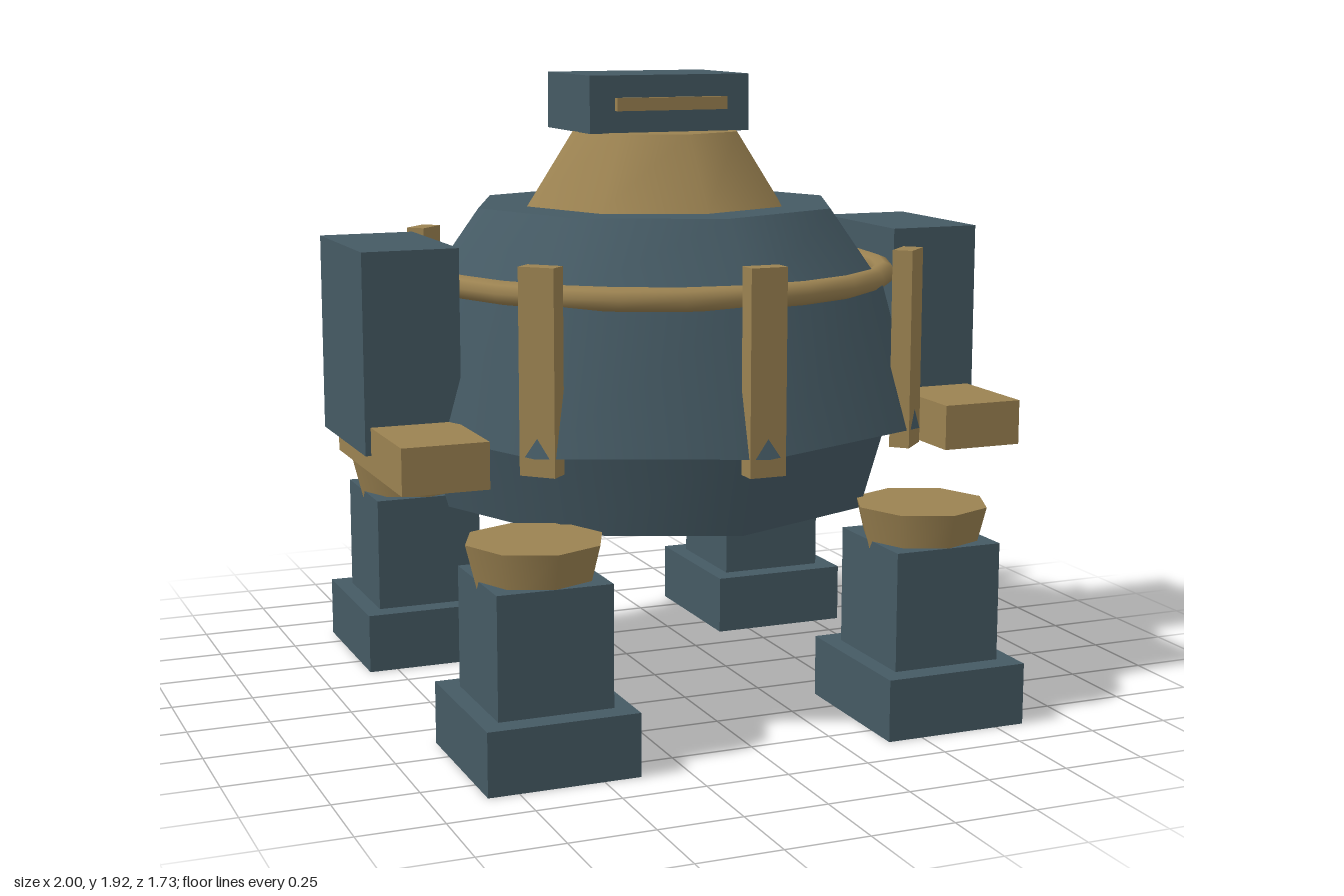
import * as THREE from 'three';

const slate = new THREE.MeshStandardMaterial({ color: 0x455a64 });
slate.name = 'slate armour';
const tan = new THREE.MeshStandardMaterial({ color: 0x9b8251 });
tan.name = 'tan trim';

export function createModel() {
  const model = new THREE.Group();
  model.name = 'walker';

  const add = (name, geometry, material, parent = model) => {
    const mesh = new THREE.Mesh(geometry, material);
    mesh.name = name;
    parent.add(mesh);
    return mesh;
  };

  // Box given by its minimum and maximum corners
  const box = (name, material, [x0, y0, z0], [x1, y1, z1], parent) => {
    const mesh = add(name, new THREE.BoxGeometry(x1 - x0, y1 - y0, z1 - z0), material, parent);
    mesh.position.set((x0 + x1) / 2, (y0 + y1) / 2, (z0 + z1) / 2);
    return mesh;
  };

  // Eight-sided tapered section between two heights
  const taper = (name, material, y0, r0, y1, r1, parent) => {
    const mesh = add(name, new THREE.CylinderGeometry(r1, r0, y1 - y0, 8), material, parent);
    mesh.position.y = (y0 + y1) / 2;
    return mesh;
  };

  // Hull sections, from the belly up to the neck
  taper('lowerHull', slate, 0.615, 0.68, 0.876, 0.755);
  taper('upperHull', slate, 0.876, 0.863, 1.298, 0.742);
  taper('shoulder', slate, 1.298, 0.742, 1.525, 0.573);
  taper('neck', tan, 1.525, 0.418, 1.748, 0.27);

  // Trim ring round the hull
  const ring = add('trimRing', new THREE.TorusGeometry(0.71, 0.035, 8, 24), tan);
  ring.rotation.x = Math.PI / 2;
  ring.position.y = 1.315;

  // Upright ribs at the hull corners
  for (let i = 0; i < 8; i++) {
    const pivot = new THREE.Group();
    pivot.name = 'rib';
    pivot.rotation.y = i * Math.PI / 4;
    box('ribBar', tan, [-0.055, 0.822, 0.786], [0.055, 1.415, 0.847], pivot);
    model.add(pivot);
  }

  // Head with its viewing slit
  box('head', slate, [-0.26, 1.747, -0.25], [0.26, 1.92, 0.125]);
  box('visor', tan, [-0.18, 1.814, 0.12], [0.18, 1.853, 0.147]);

  // Side pods and forearms
  for (const side of [-1, 1]) {
    const pod = box('sidePod', slate, [0.71, 0.844, -0.243], [1, 1.436, 0.243]);
    const arm = box('forearm', tan, [0.727, 0.79, -0.136], [0.983, 0.927, 0.565]);
    pod.position.x *= side;
    arm.position.x *= side;
  }

  // Four legs
  for (const x of [-0.616, 0.616]) {
    for (const z of [-0.617, 0.617]) {
      const leg = new THREE.Group();
      leg.name = 'leg';
      leg.position.set(x, 0, z);
      box('foot', slate, [-0.225, 0, -0.247], [0.225, 0.187, 0.247], leg);
      box('shin', slate, [-0.171, 0.187, -0.178], [0.171, 0.546, 0.178], leg);
      taper('hipCap', tan, 0.5, 0.166, 0.65, 0.204, leg);
      model.add(leg);
    }
  }

  return model;
}
